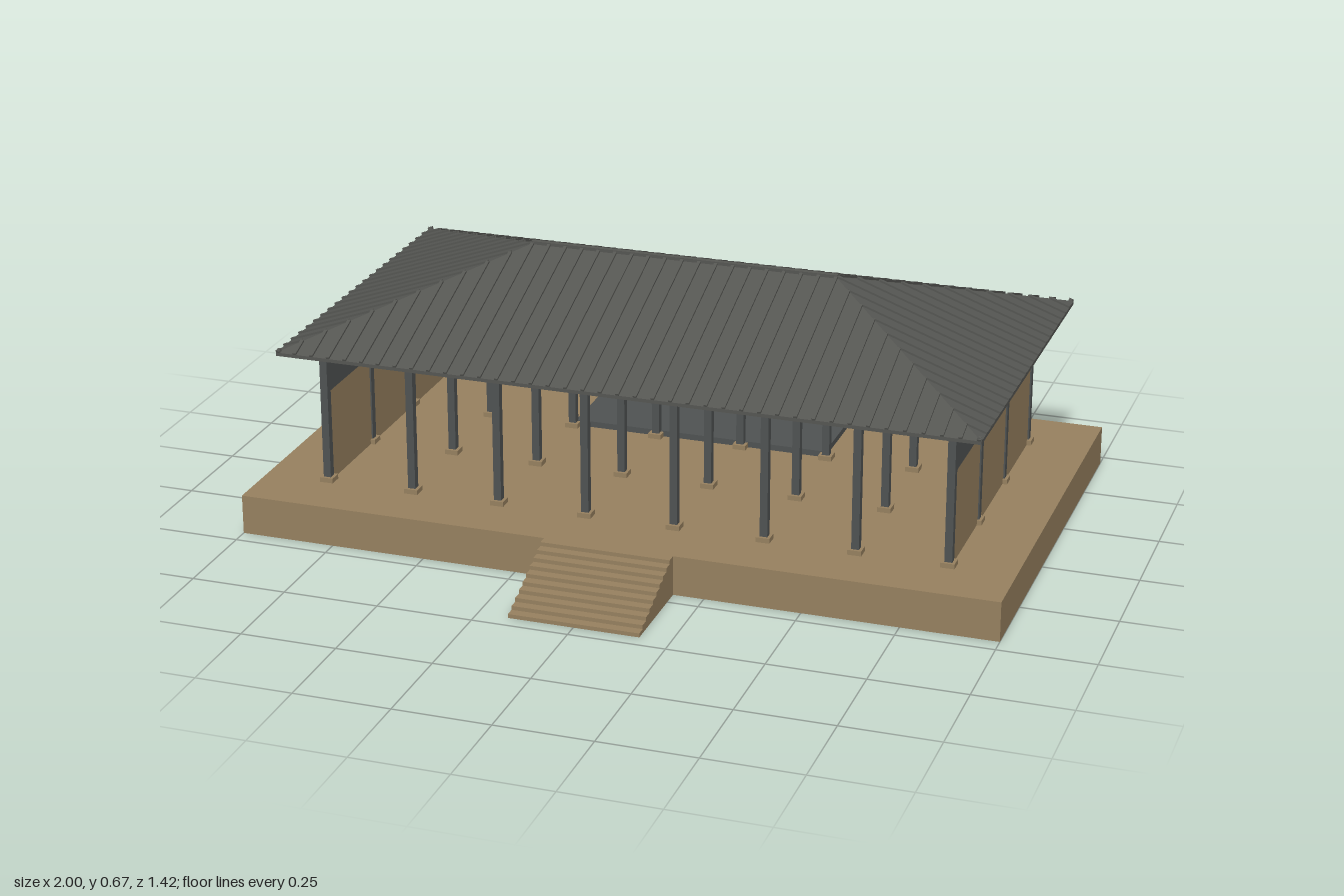
import * as THREE from 'three';
import { mergeGeometries } from 'three/addons/utils/BufferGeometryUtils.js';
import { ConvexGeometry } from 'three/addons/geometries/ConvexGeometry.js';

const colour = (name, hex) => {
  const m = new THREE.MeshStandardMaterial({ color: hex });
  m.name = name;
  return m;
};

export function createModel() {
  const model = new THREE.Group();
  model.name = 'pavilion';
  const sand = colour('sand', 0x96805f);
  const slate = colour('slate', 0x4f5252);
  const tile = colour('roofTile', 0x555652);

  const add = (name, geometry, material, parent = model) => {
    const mesh = new THREE.Mesh(geometry, material);
    mesh.name = name;
    parent.add(mesh);
    return mesh;
  };
  // Box from its minimum and maximum corners
  const span = (x0, x1, y0, y1, z0, z1) =>
    new THREE.BoxGeometry(x1 - x0, y1 - y0, z1 - z0)
      .translate((x0 + x1) / 2, (y0 + y1) / 2, (z0 + z1) / 2);

  // Platform
  const floorY = 0.105;
  add('platform', span(-1, 1, 0, floorY, -0.71, 0.455), sand);

  // Front stairs: one stepped profile extruded across the width
  const steps = 10, tread = 0.0255, riser = floorY / steps;
  const profile = new THREE.Shape().moveTo(0.455, 0).lineTo(0.71, 0);
  for (let i = 0; i < steps; i++) {
    profile.lineTo(0.71 - i * tread, (i + 1) * riser);
    if (i < steps - 1) profile.lineTo(0.71 - (i + 1) * tread, (i + 1) * riser);
  }
  profile.lineTo(0.455, floorY);
  add('stairs', new THREE.ExtrudeGeometry(profile, { depth: 0.34, bevelEnabled: false })
    .rotateY(-Math.PI / 2).translate(0.17, 0, 0), sand);

  // Columns on plinths, with a tie beam over each row
  const topY = 0.476, halfX = 0.829, backZ = -0.54, frontZ = 0.29;
  const columns = [], plinths = [], beams = [];
  for (let row = 0; row < 4; row++) {
    const z = backZ + row * (frontZ - backZ) / 3;
    for (let i = 0; i < 8; i++) {
      const x = -halfX + i * 2 * halfX / 7;
      columns.push(span(x - 0.01, x + 0.01, floorY, topY, z - 0.01, z + 0.01));
      plinths.push(span(x - 0.018, x + 0.018, floorY, 0.118, z - 0.018, z + 0.018));
    }
    beams.push(span(-halfX, halfX, 0.46, topY, z - 0.007, z + 0.007));
  }
  add('columns', mergeGeometries(columns), slate);
  add('plinths', mergeGeometries(plinths), sand);
  add('tieBeams', mergeGeometries(beams), slate);

  // Back and side walls, each with a dark upper band; the front stays open
  const wall = (name, x0, x1, z0, z1) => {
    add(name, span(x0, x1, floorY, 0.35, z0, z1), sand);
    add(name + 'Band', span(x0, x1, 0.35, topY, z0, z1), slate);
  };
  const t = 0.006;
  wall('backWall', -halfX, halfX, backZ - t, backZ + t);
  for (const s of [-1, 1]) {
    wall(s > 0 ? 'leftWall' : 'rightWall', s * halfX - t, s * halfX + t, backZ + t, frontZ);
  }

  // Low dais at the rear of the hall
  add('dais', span(-0.35, 0.35, floorY, 0.121, -0.52, -0.27), slate);

  // Hipped roof, centred on the ridge
  const roof = new THREE.Group();
  roof.name = 'roof';
  roof.position.z = -0.128;
  model.add(roof);
  const ex = 0.92, ez = 0.511, eaveY = 0.483, ridgeY = 0.667, ridgeX = ex - ez;
  const points = [];
  for (const sx of [-1, 1]) {
    for (const sz of [-1, 1]) {
      for (const y of [0.474, eaveY]) points.push(new THREE.Vector3(sx * ex, y, sz * ez));
    }
    points.push(new THREE.Vector3(sx * ridgeX, ridgeY, 0));
  }
  add('roofBody', new ConvexGeometry(points), tile);
  add('ridgeCap', span(-ridgeX - 0.006, ridgeX + 0.006, 0.66, 0.673, -0.007, 0.007), tile, roof);

  // Raised ribs running from the eave up to the hip or ridge
  const slope = Math.atan2(ridgeY - eaveY, ez);
  const ribs = (name, halfEave, reach, count, turn) => {
    const parts = [];
    for (let i = 0; i < count; i++) {
      const x = (halfEave - 0.006) * (2 * i / (count - 1) - 1);
      const run = Math.max(0.012, Math.min(ez, halfEave - Math.abs(x)));
      parts.push(new THREE.BoxGeometry(0.009, 0.01, run / Math.cos(slope))
        .rotateX(slope)
        .translate(x, eaveY + Math.tan(slope) * run / 2, reach - run / 2));
    }
    add(name, mergeGeometries(parts), tile, roof).rotation.y = turn;
  };
  ribs('frontRibs', ex, ez, 41, 0);
  ribs('backRibs', ex, ez, 41, Math.PI);
  ribs('leftRibs', ez, ex, 23, Math.PI / 2);
  ribs('rightRibs', ez, ex, 23, -Math.PI / 2);
  roof.add(model.getObjectByName('roofBody'));

  return model;
}
